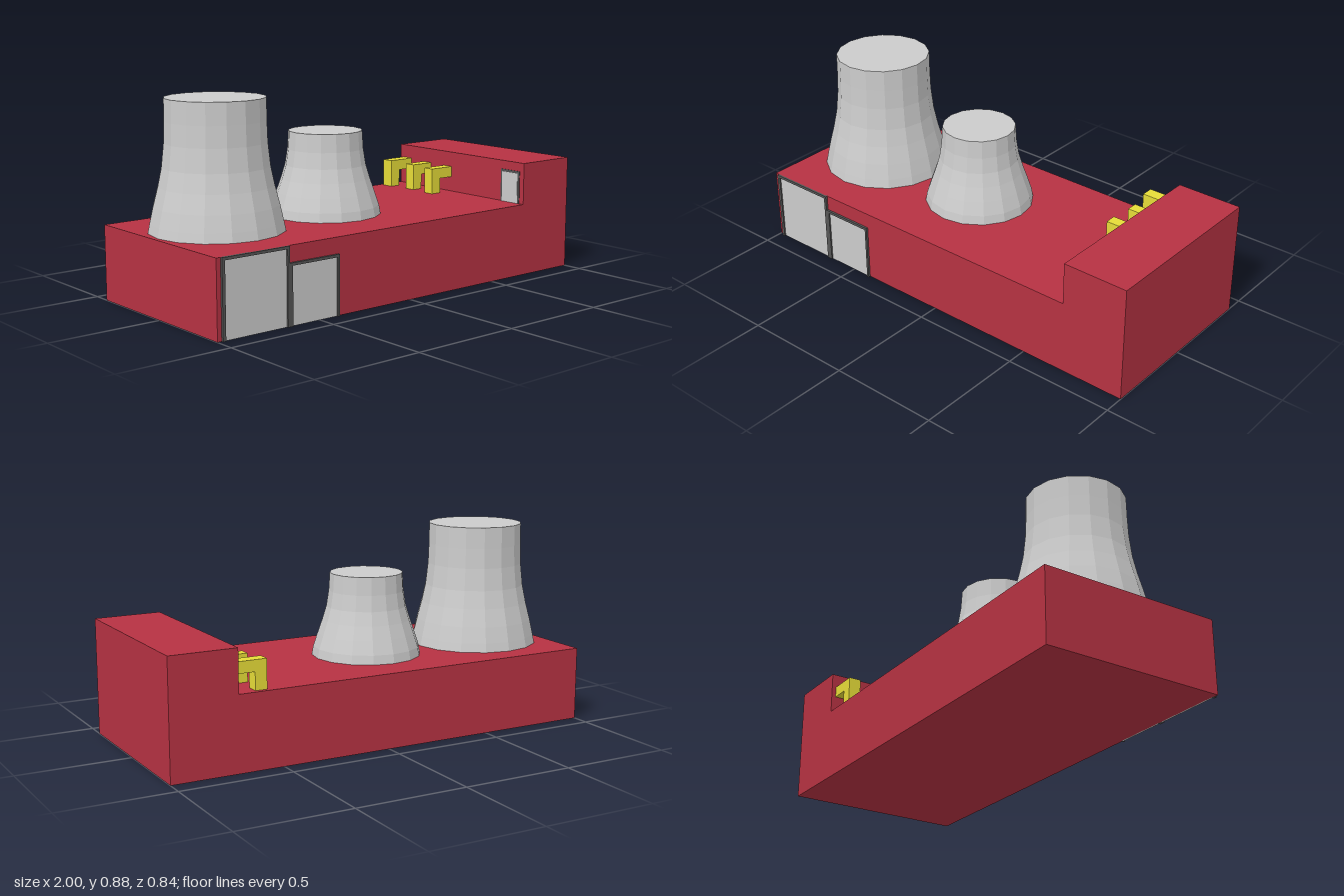
import * as THREE from 'three';

const material = (color) => new THREE.MeshStandardMaterial({ color, flatShading: true });

export function createModel() {
  const model = new THREE.Group();
  const red = material(0xb63242), grey = material(0xcccccc);
  const dark = material(0x555555), yellow = material(0xe6dc38);

  const add = (parent, name, geometry, mat) => {
    const mesh = new THREE.Mesh(geometry, mat);
    mesh.name = name;
    parent.add(mesh);
    return mesh;
  };
  // Box given by its lower and upper corners
  const box = (parent, name, mat, [x0, y0, z0], [x1, y1, z1]) => {
    const mesh = add(parent, name, new THREE.BoxGeometry(x1 - x0, y1 - y0, z1 - z0), mat);
    mesh.position.set((x0 + x1) / 2, (y0 + y1) / 2, (z0 + z1) / 2);
    return mesh;
  };

  // Stepped building, extruded from its front outline
  const outline = new THREE.Shape([
    [-1, 0], [1, 0], [1, 0.52], [0.7, 0.52], [0.7, 0.33], [-1, 0.33],
  ].map(([x, y]) => new THREE.Vector2(x, y)));
  const body = new THREE.ExtrudeGeometry(outline, { depth: 0.83, bevelEnabled: false });
  body.translate(0, 0, -0.42);
  add(model, 'building', body, red);

  // Cooling towers: flared 16-sided shells with a flat closed top
  const tower = (name, x, profile) => {
    const top = profile[profile.length - 1][1];
    const points = [...profile, [0, top]].map(([r, y]) => new THREE.Vector2(r, y));
    add(model, name, new THREE.LatheGeometry(points, 16), grey).position.set(x, 0, -0.027);
  };
  tower('largeTower', -0.693, [[0.29, 0.33], [0.282, 0.37], [0.266, 0.44], [0.245, 0.52],
    [0.228, 0.6], [0.217, 0.7], [0.214, 0.79], [0.213, 0.885]]);
  tower('smallTower', -0.112, [[0.245, 0.33], [0.238, 0.37], [0.218, 0.43], [0.197, 0.49],
    [0.179, 0.55], [0.168, 0.62], [0.163, 0.7]]);

  // Doors on the front: dark frame (two posts and a lintel) around a grey panel
  const door = (name, x0, x1, height, left, right) => {
    const group = new THREE.Group();
    group.name = name;
    model.add(group);
    const top = height - 0.012;
    box(group, 'framePost', dark, [x0, 0, 0.405], [x0 + left, height, 0.42]);
    box(group, 'framePost', dark, [x1 - right, 0, 0.405], [x1, height, 0.42]);
    box(group, 'frameLintel', dark, [x0 + left, top, 0.405], [x1 - right, height, 0.42]);
    box(group, 'doorPanel', grey, [x0 + left, 0, 0.405], [x1 - right, top, 0.413]);
  };
  door('largeDoor', -0.98, -0.655, 0.33, 0.014, 0.012);
  door('smallDoor', -0.655, -0.4, 0.26, 0.014, 0.01);

  // Roof door in the raised block's inner wall
  const roofDoor = new THREE.Group();
  roofDoor.name = 'roofDoor';
  model.add(roofDoor);
  box(roofDoor, 'doorFrame', dark, [0.697, 0.33, 0.27], [0.705, 0.48, 0.385]);
  box(roofDoor, 'doorPanel', grey, [0.695, 0.33, 0.28], [0.704, 0.47, 0.375]);

  // Square elbow pipes from the roof into the raised block
  [[0.565, -0.4, -0.343, 0.458], [0.583, -0.255, -0.203, 0.452], [0.572, -0.112, -0.06, 0.45]]
    .forEach(([x, z0, z1, top]) => {
      const pipe = new THREE.Shape([
        [x, 0.325], [x + 0.053, 0.325], [x + 0.053, top - 0.05],
        [0.705, top - 0.05], [0.705, top], [x, top],
      ].map(([px, py]) => new THREE.Vector2(px, py)));
      const geometry = new THREE.ExtrudeGeometry(pipe, { depth: z1 - z0, bevelEnabled: false });
      geometry.translate(0, 0, z0);
      add(model, 'elbowPipe', geometry, yellow);
    });

  return model;
}
